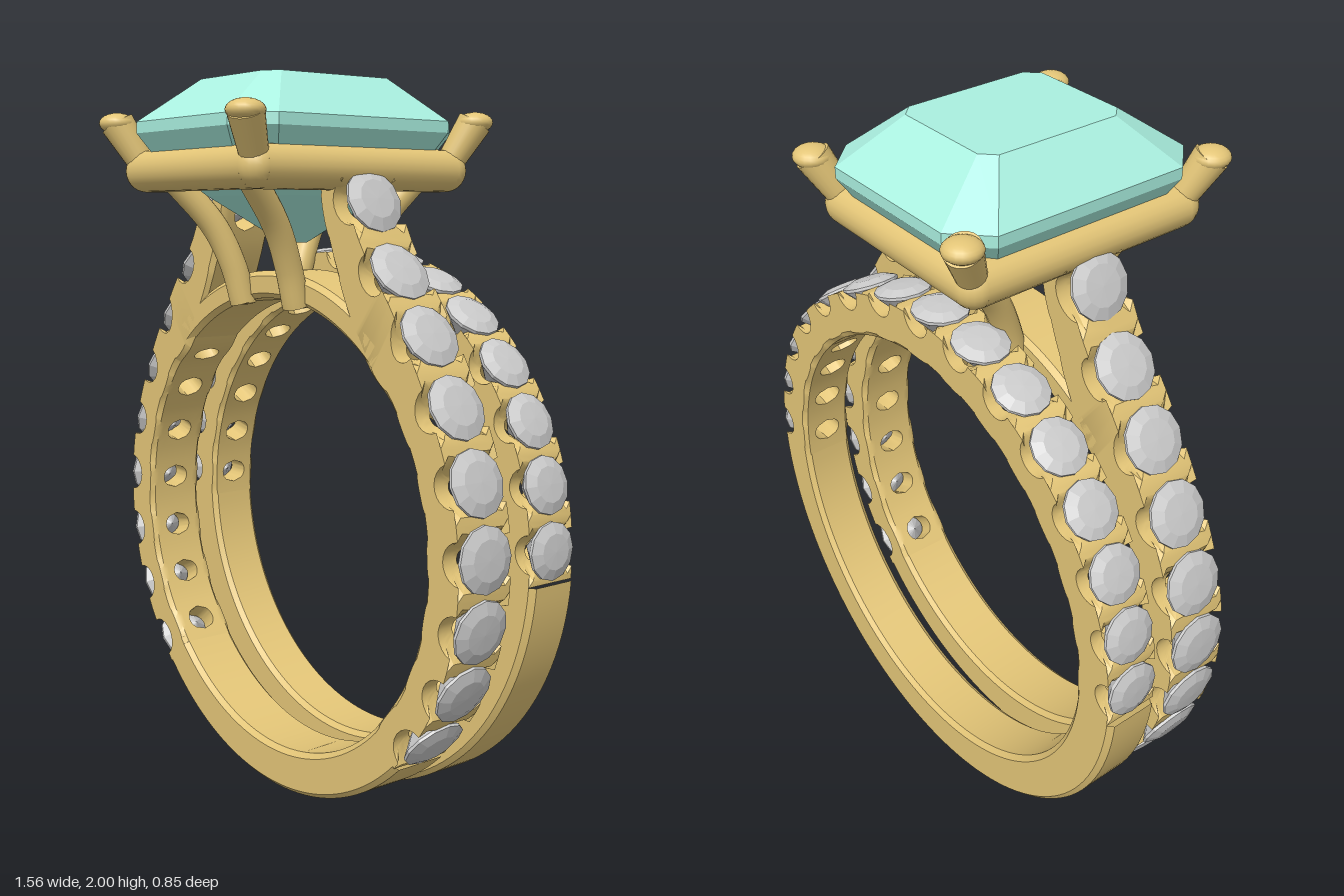
import * as THREE from 'three';
import { mergeGeometries, toCreasedNormals } from 'three/addons/utils/BufferGeometryUtils.js';

const gold = new THREE.MeshStandardMaterial({ color: 0xe3c577 });
const clear = new THREE.MeshStandardMaterial({ color: 0xcccccc, flatShading: true });
const teal = new THREE.MeshStandardMaterial({ color: 0xaaf0e0, flatShading: true });
const RAD = Math.PI / 180;
const lerp = THREE.MathUtils.lerp;
const CY = 0.775; // height of the ring centres

const polar = (r, deg) => new THREE.Vector2(r * Math.cos(deg * RAD), CY + r * Math.sin(deg * RAD));

function add(parent, name, geometry, material) {
  const mesh = new THREE.Mesh(geometry, material);
  mesh.name = name;
  parent.add(mesh);
  return mesh;
}

// Closed grid of triangles: rows[k][j], wrapping round in k
function gridGeometry(rows) {
  const pos = [];
  rows.forEach((row, k) => {
    const next = rows[(k + 1) % rows.length];
    for (let j = 0; j < row.length - 1; j++)
      for (const p of [row[j], row[j + 1], next[j + 1], row[j], next[j + 1], next[j]]) pos.push(...p);
  });
  const g = new THREE.BufferGeometry();
  g.setAttribute('position', new THREE.Float32BufferAttribute(pos, 3));
  return g;
}

// One block of a band: drilled through, with a round channel cut across its outside
function stoneCell(at, t, w, hole, cut) {
  const pitch = at(t - 0.5).outer.distanceTo(at(t + 0.5).outer);
  const us = [pitch / 2];
  for (let i = 0; i <= 10; i++) us.push(cut * Math.cos(i / 10 * Math.PI));
  us.push(-pitch / 2);
  const rim = [
    ...us.map(u => [u, w]), [-pitch / 2, 0],
    ...us.map(u => [-u, -w]), [pitch / 2, 0],
  ];
  // [hole to rim, inside to outside, width]
  const section = [[0, 0, 1], [0, 1, 1], [0.35, 1, 1], [0.7, 1, 1], [1, 1, 1],
    [1, 0.12, 1], [1, 0, 0.86], [0.45, 0, 1], [0, 0, 1]];
  return gridGeometry(rim.map(([pu, pz]) => {
    const a = Math.atan2(pz, pu);
    return section.map(([s, f, zs]) => {
      const u = lerp(hole * Math.cos(a), pu, s);
      const z = lerp(hole * Math.sin(a), pz, s) * zs;
      const { inner, outer } = at(t + u / pitch);
      const dip = Math.sqrt(Math.max(0, cut * cut - u * u));
      const k = f * (1 - dip / inner.distanceTo(outer));
      return [lerp(inner.x, outer.x, k), lerp(inner.y, outer.y, k), z];
    });
  }));
}

// A row of drilled blocks, each with a round faceted stone
function stoneRow(parent, name, at, count, w, cut) {
  const group = new THREE.Group();
  group.name = name;
  parent.add(group);
  const cells = [];
  const r = w - 0.002;
  const profile = [[0, -0.085], [r, -0.004], [r, 0.004], [r * 0.62, 0.016], [0, 0.018]];
  const gem = new THREE.LatheGeometry(profile.map(p => new THREE.Vector2(...p)), 12);
  for (let t = 0; t < count; t++) {
    cells.push(stoneCell(at, t, w, 0.042, cut));
    const p = at(t).outer;
    const tangent = at(t + 0.3).outer.sub(at(t - 0.3).outer).normalize();
    const stone = add(group, 'roundStone', gem, clear);
    stone.position.set(p.x, p.y, 0);
    stone.rotation.z = Math.atan2(tangent.y, tangent.x) - Math.PI;
  }
  add(group, 'drilledBand', toCreasedNormals(mergeGeometries(cells), 0.6), gold);
  return group;
}

// Plain arc of a band, centred on angle mid measured from the bottom
function plainArc(parent, name, r, R, w, mid, half) {
  const c = 0.014;
  const profile = [[r, c - w], [r + c, -w], [R - c, -w], [R, c - w], [R, w - c],
    [R - c, w], [r + c, w], [r, w - c], [r, c - w]].map(p => new THREE.Vector2(...p));
  const g = new THREE.LatheGeometry(profile, 64, mid - half, 2 * half).rotateX(Math.PI / 2);
  const mesh = add(parent, name, toCreasedNormals(g, 0.5), gold);
  mesh.position.y = CY;
  return mesh;
}

// Step-cut stone: stacked rectangles with cut corners [half x, half z, corner, y]
function centreStone() {
  const levels = [[0.001, 0.04, 0.0005, 1.565], [0.155, 0.215, 0.045, 1.69], [0.27, 0.335, 0.08, 1.8],
    [0.305, 0.37, 0.09, 1.855], [0.305, 0.37, 0.09, 1.885], [0.175, 0.21, 0.035, 2], [0, 0, 0, 2]];
  const rings = levels.map(([x, z, c, y]) => [
    [x, y, z - c], [x, y, c - z], [x - c, y, -z], [c - x, y, -z],
    [-x, y, c - z], [-x, y, z - c], [c - x, y, z], [x - c, y, z]]);
  const rows = rings[0].map((_, k) => rings.map(ring => ring[k]));
  // order the sides so that faces look outward
  const g = gridGeometry(rows.reverse());
  g.computeVertexNormals();
  return g;
}

export function createModel() {
  const model = new THREE.Group();
  model.name = 'ringSet';

  // Engagement ring: shank rising into two arms
  const ring = new THREE.Group();
  ring.name = 'engagementRing';
  model.add(ring);
  const angles = [-45, -31, -17.4, -3.5, 10.5, 24.7];
  const curve = pts => new THREE.SplineCurve(pts);
  const V = (x, y) => new THREE.Vector2(x, y);
  const outer = curve([...angles.map(a => polar(0.758, a)), V(0.6, 1.262), V(0.493, 1.425), V(0.38, 1.575), V(0.3, 1.755)]);
  const inner = curve([...angles.map(a => polar(0.64, a)), polar(0.64, 39), polar(0.64, 52), V(0.265, 1.53), V(0.21, 1.72)]);
  const at = t => {
    const k = THREE.MathUtils.clamp((t + 0.5) / 9, 0, 1);
    return { inner: inner.getPoint(k), outer: outer.getPoint(k) };
  };
  const mirrored = t => {
    const p = at(8 - t);
    p.inner.x *= -1;
    p.outer.x *= -1;
    return p;
  };
  stoneRow(ring, 'leftShank', at, 9, 0.088, 0.055);
  stoneRow(ring, 'rightShank', mirrored, 9, 0.088, 0.055);
  plainArc(ring, 'lowerShank', 0.64, 0.765, 0.088, 0, 45 * RAD);
  plainArc(ring, 'bridge', 0.64, 0.715, 0.088, Math.PI, 0.72);

  // Setting: rail, legs and claws
  const setting = new THREE.Group();
  setting.name = 'setting';
  ring.add(setting);
  const RX = 0.26, RZ = 0.315, RY = 1.757, RR = 0.056;
  for (const s of [-1, 1]) {
    const side = add(setting, 'sideRail', new THREE.CylinderGeometry(RR, RR, 2 * RZ, 20).rotateX(Math.PI / 2), gold);
    side.position.set(s * RX, RY, 0);
    const end = add(setting, 'endRail', new THREE.CylinderGeometry(RR, RR, 2 * RX, 20).rotateZ(Math.PI / 2), gold);
    end.position.set(0, RY, s * RZ);
    for (const q of [-1, 1]) {
      const corner = add(setting, 'railCorner', new THREE.SphereGeometry(RR, 20, 14), gold);
      corner.position.set(s * RX, RY, q * RZ);

      const leg = new THREE.CatmullRomCurve3([[0.122, 1.4, 0.09], [0.128, 1.5, 0.118], [0.145, 1.61, 0.17], [0.18, 1.74, 0.28]]
        .map(([x, y, z]) => new THREE.Vector3(s * x, y, q * z)));
      add(setting, 'leg', new THREE.TubeGeometry(leg, 20, 0.037, 16), gold);
      const foot = add(setting, 'legFoot', new THREE.SphereGeometry(0.037, 16, 8).scale(1, 0.25, 1), gold);
      foot.position.set(s * 0.122, 1.402, q * 0.09);

      const low = new THREE.Vector3(s * 0.255, 1.75, q * 0.31);
      const high = new THREE.Vector3(s * 0.304, 1.885, q * 0.377);
      const axis = high.clone().sub(low);
      const claw = add(setting, 'claw', new THREE.CylinderGeometry(0.047, 0.034, axis.length(), 20), gold);
      claw.position.copy(low).lerp(high, 0.5);
      claw.quaternion.setFromUnitVectors(new THREE.Vector3(0, 1, 0), axis.normalize());
      const tip = add(setting, 'clawTip', new THREE.SphereGeometry(0.05, 20, 12).scale(1, 0.56, 1), gold);
      tip.position.copy(high);
    }
  }
  add(ring, 'centreStone', centreStone(), teal);

  // Matching band behind, set with stones over its upper half
  const band = new THREE.Group();
  band.name = 'weddingBand';
  band.position.set(0, 0.002, -0.2275);
  model.add(band);
  const arc = t => {
    const a = 90 + 12.5 * (t - 7);
    return { inner: polar(0.64, a), outer: polar(0.762, a) };
  };
  stoneRow(band, 'upperBand', arc, 15, 0.0775, 0.05);
  plainArc(band, 'lowerBand', 0.64, 0.776, 0.0775, 0, 86.25 * RAD);
  return model;
}
